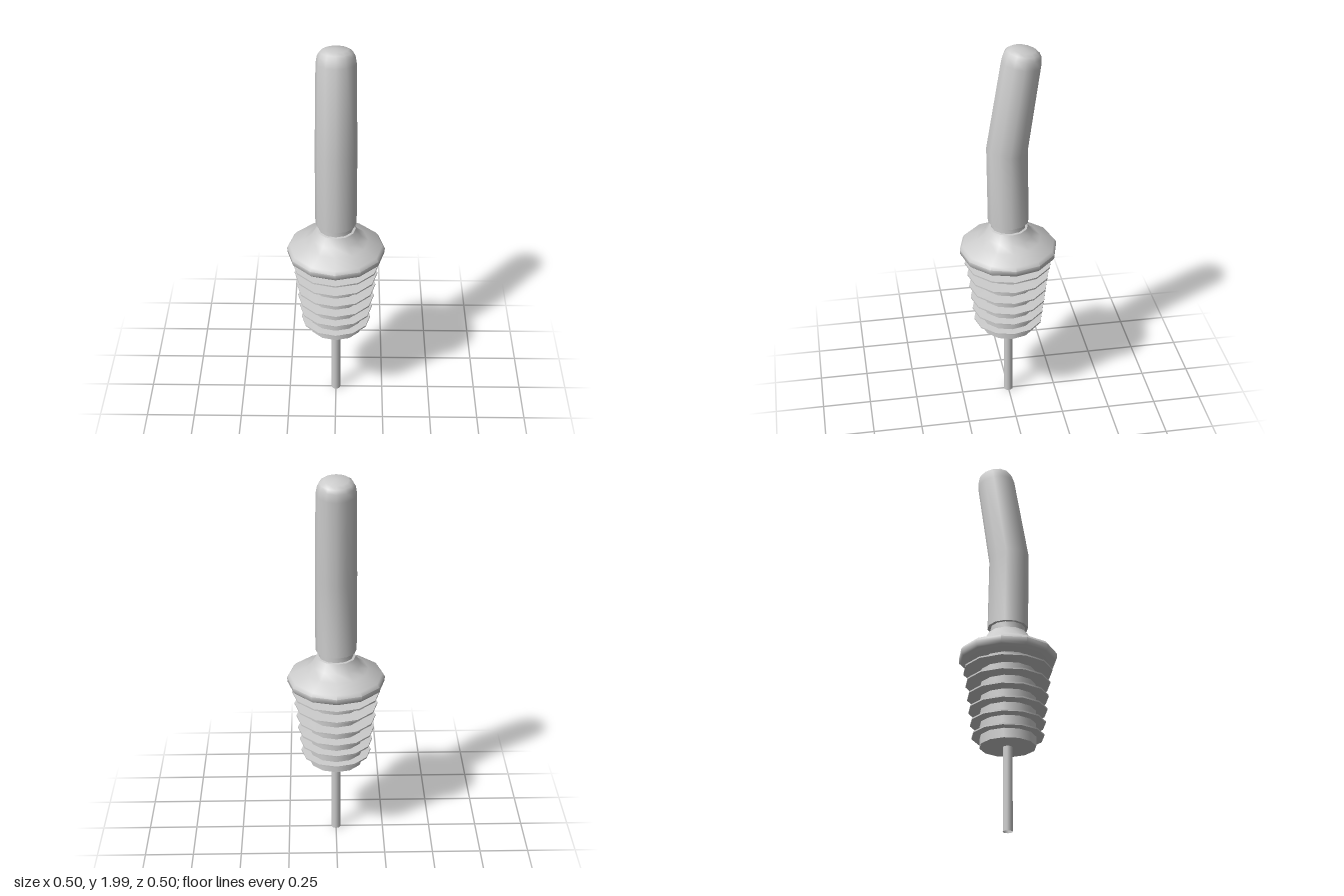
import * as THREE from 'three';
import { toCreasedNormals } from 'three/addons/utils/BufferGeometryUtils.js';

const SIDES = 12;

export function createModel() {
  const model = new THREE.Group();
  const material = new THREE.MeshStandardMaterial({ color: 0xcccccc });
  const tubeMaterial = new THREE.MeshStandardMaterial({ color: 0xcccccc, side: THREE.DoubleSide });

  // Turned part from a [radius, height] profile listed bottom to top
  const turned = (profile) =>
    new THREE.LatheGeometry(profile.map(([r, y]) => new THREE.Vector2(r, y)), SIDES);

  const add = (name, geometry, mat = material, parent = model) => {
    const mesh = new THREE.Mesh(geometry, mat);
    mesh.name = name;
    parent.add(mesh);
    return mesh;
  };

  // Thin open air tube below the stopper
  const tube = new THREE.CylinderGeometry(0.024, 0.024, 0.43, SIDES, 1, true);
  add('airTube', tube.translate(0, 0.215, 0), tubeMaterial);

  // Stopper core
  add('stopperCore', toCreasedNormals(turned([[0, 0.425], [0.14, 0.425], [0.14, 0.89]]), 0.8));

  // Sealing fins, widening upwards
  const fins = new THREE.Group();
  fins.name = 'sealingFins';
  model.add(fins);
  const finSizes = [[0.18, 0.48], [0.188, 0.547], [0.197, 0.615], [0.204, 0.685], [0.213, 0.757], [0.225, 0.826]];
  for (const [r, y] of finSizes) {
    const fin = turned([[0.135, y - 0.007], [r, y - 0.004], [r, y + 0.004], [0.135, y + 0.007]]);
    add('sealingFin', toCreasedNormals(fin, 0.8), material, fins);
  }

  // Flared collar with the neck on top
  add('collar', toCreasedNormals(turned([
    [0.13, 0.876], [0.238, 0.876], [0.247, 0.885], [0.249, 0.91], [0.236, 0.927],
    [0.165, 0.957], [0.125, 0.988], [0.1, 1.03],
  ]), 0.85));
  add('neck', toCreasedNormals(turned([[0.1, 1.03], [0.088, 1.032], [0.088, 1.08]]), 0.8));

  // Spout: straight sleeve, then leaning back above the bend, with a rounded tip
  const spout = turned([
    [0.08, 1.065], [0.104, 1.065], [0.104, 1.465], [0.098, 1.92],
    [0.091, 1.96], [0.08, 1.978], [0.06, 1.99], [0, 1.996],
  ]);
  const bendY = 1.465, lean = 0.15;
  const pos = spout.attributes.position;
  for (let i = 0; i < pos.count; i++) {
    const y = pos.getY(i), z = pos.getZ(i);
    if (y < bendY - 0.001) continue;
    const h = y - bendY;
    pos.setY(i, bendY + h * Math.cos(lean) + z * Math.sin(lean));
    pos.setZ(i, 0.006 + z * Math.cos(lean) - h * Math.sin(lean));
  }
  add('spout', toCreasedNormals(spout, 0.85));

  return model;
}
